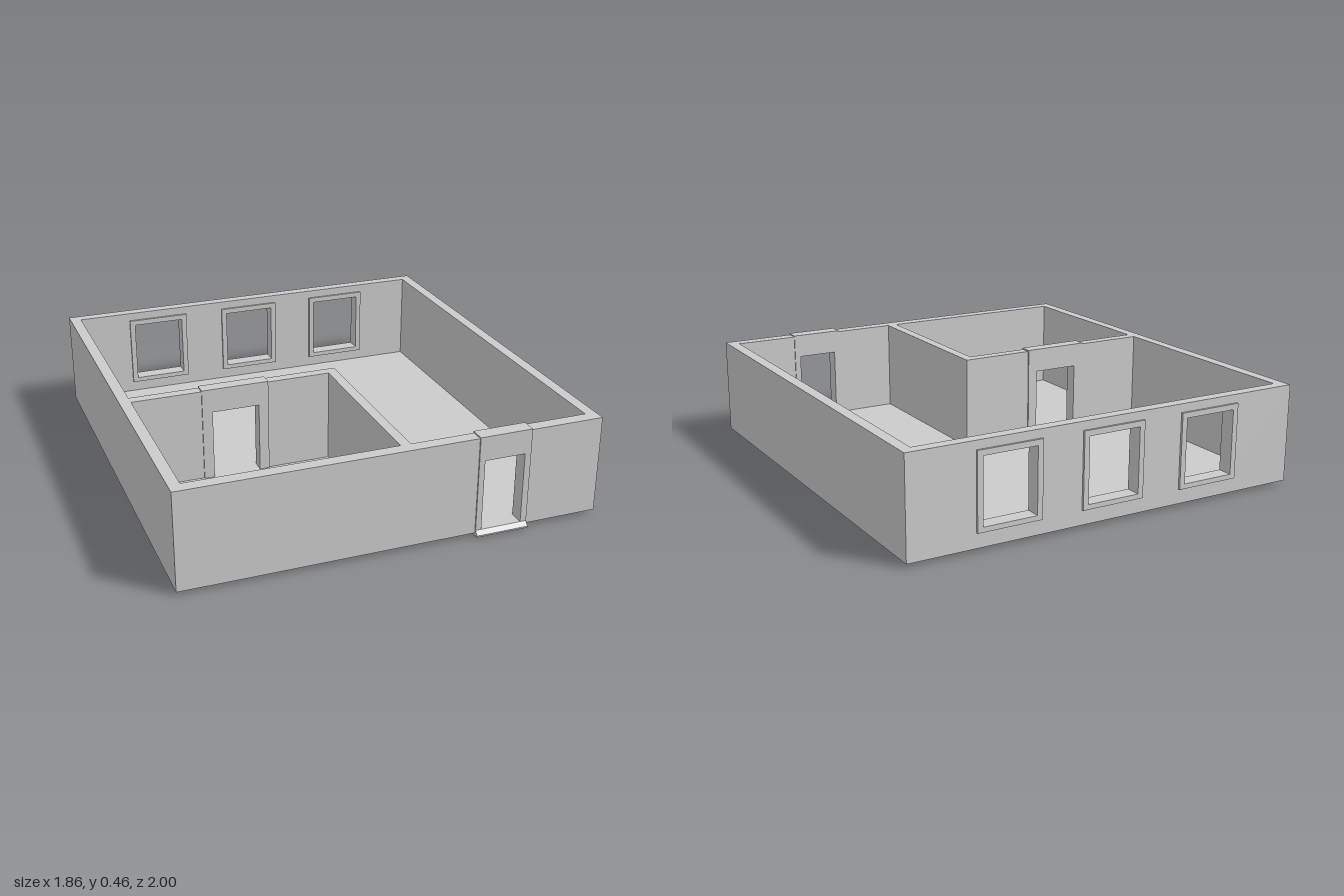
import * as THREE from 'three';

const material = new THREE.MeshStandardMaterial({ color: 0xcccccc, flatShading: true });
const Y0 = 0.015, Y1 = 0.453, FLOOR = 0.03; // wall foot, wall top, floor level

export function createModel() {
  const group = new THREE.Group();

  const add = (name, geometry) => {
    const mesh = new THREE.Mesh(geometry, material);
    mesh.name = name;
    group.add(mesh);
    return mesh;
  };
  const box = (name, x0, x1, y0, y1, z0, z1) => {
    const g = new THREE.BoxGeometry(x1 - x0, y1 - y0, z1 - z0);
    add(name, g.translate((x0 + x1) / 2, (y0 + y1) / 2, (z0 + z1) / 2));
  };
  const points = (list) => list.map(([x, y]) => new THREE.Vector2(x, y));
  const rect = (x0, x1, y0, y1) => points([[x0, y0], [x1, y0], [x1, y1], [x0, y1]]);
  // upright slab facing z, cut by holes
  const panel = (name, outline, holes, z0, z1) => {
    const shape = new THREE.Shape(outline);
    shape.holes = holes.map((h) => new THREE.Path(h));
    const g = new THREE.ExtrudeGeometry(shape, { depth: z1 - z0, bevelEnabled: false });
    add(name, g.translate(0, 0, z0));
  };
  // outline of a slab with a doorway open at the foot
  const archway = (x0, x1, y0, y1, d0, d1, top) =>
    points([[x0, y0], [d0, y0], [d0, top], [d1, top], [d1, y0], [x1, y0], [x1, y1], [x0, y1]]);

  // floor, with strips running through the doorways
  box('floorMain', -0.88, 0.88, 0.022, FLOOR, -0.94, 0.08);
  box('floorRoom', -0.88, 0.03, 0.022, FLOOR, 0.13, 0.92);
  box('floorEntry', 0.075, 0.88, 0.022, FLOOR, 0.08, 0.92);
  box('innerDoorFloor', -0.52, -0.305, 0.022, FLOOR, 0.08, 0.13);

  // outer walls
  const windows = [-0.4875, -0.0025, 0.4825];
  panel('backWall', rect(-0.93, 0.93, Y0, Y1),
    windows.map((x) => rect(x - 0.135, x + 0.135, 0.09, 0.405)), -0.99, -0.94);
  panel('frontWall', archway(-0.93, 0.93, Y0, Y1, 0.37, 0.58, 0.36), [], 0.92, 0.977);
  for (const s of [-1, 1]) {
    box(s < 0 ? 'rightWall' : 'leftWall', s < 0 ? -0.93 : 0.88, s < 0 ? -0.88 : 0.93, Y0, Y1, -0.94, 0.92);
  }

  // partitions around the small room
  panel('roomWallBack', archway(-0.88, 0.075, Y0, Y1, -0.53, -0.295, 0.36), [], 0.082, 0.13);
  box('roomWallSide', 0.03, 0.075, Y0, Y1, 0.13, 0.92);

  // window frames, proud of the wall on both sides
  for (const x of windows) {
    panel('windowFrame', rect(x - 0.147, x + 0.147, 0.08, 0.415),
      [rect(x - 0.122, x + 0.122, 0.102, 0.39)], -1, -0.93);
  }

  // door frames, rising just over the wall tops
  panel('frontDoorFrame', archway(0.357, 0.595, 0, 0.459, 0.383, 0.567, 0.35), [], 0.915, 0.983);
  panel('innerDoorFrame', archway(-0.567, -0.26, Y0, 0.459, -0.52, -0.305, 0.35), [], 0.076, 0.136);

  // threshold with a small slope outside the front door
  const sill = new THREE.Shape(points([[0.915, 0.005], [1, 0.005], [1, 0.012], [0.983, FLOOR], [0.915, FLOOR]]));
  const sillGeometry = new THREE.ExtrudeGeometry(sill, { depth: 0.238, bevelEnabled: false });
  add('doorThreshold', sillGeometry.rotateY(-Math.PI / 2).translate(0.595, 0, 0));

  return group;
}
